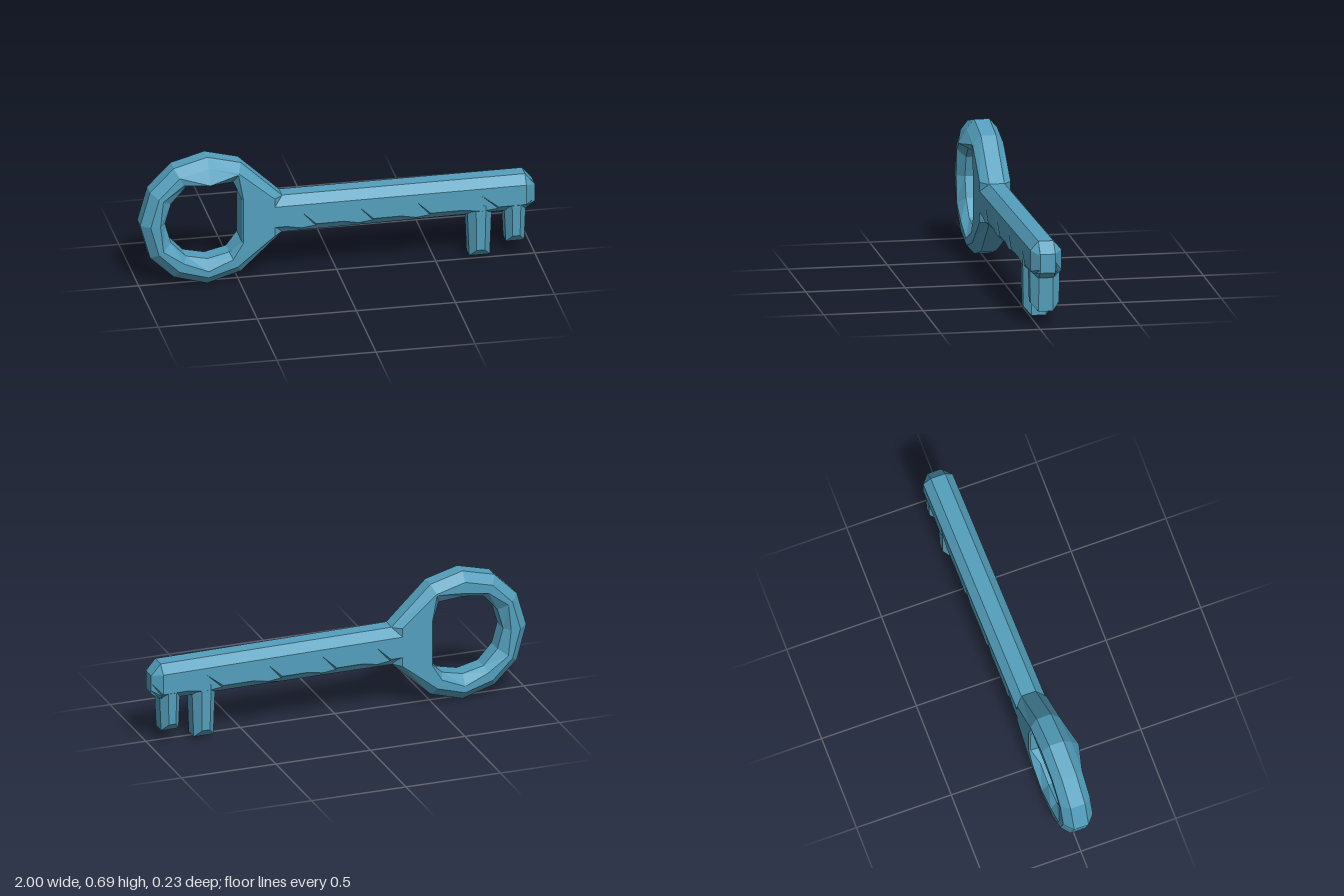
import * as THREE from 'three';

const steel = new THREE.MeshStandardMaterial({ color: 0x549fbd });
steel.name = 'steelBlue';

// The whole key leans slightly backwards towards its tip.
const lean = (x) => -0.0175 - 0.0205 * x;

// Skins a list of cross-sections (equal point counts) with flat facets.
function loft(name, sections, closed = false) {
  const n = sections[0].length, tris = [];
  const count = closed ? sections.length : sections.length - 1;
  for (let i = 0; i < count; i++) {
    const a = sections[i], b = sections[(i + 1) % sections.length];
    for (let j = 0; j < n; j++) {
      const k = (j + 1) % n;
      tris.push([a[j], b[j], b[k]], [a[j], b[k], a[k]]);
    }
  }
  if (!closed) {
    const first = sections[0], last = sections[sections.length - 1];
    for (let j = 1; j < n - 1; j++) {
      tris.push([first[0], first[j], first[j + 1]], [last[0], last[j + 1], last[j]]);
    }
  }
  // Turn every face outwards, judged by the enclosed volume.
  const v = (p) => new THREE.Vector3(p[0], p[1], p[2] + lean(p[0]));
  let volume = 0;
  const faces = tris.map((t) => t.map(v));
  for (const [a, b, c] of faces) volume += a.dot(b.clone().cross(c));
  if (volume < 0) faces.forEach((f) => f.reverse());
  const geometry = new THREE.BufferGeometry().setFromPoints(faces.flat());
  geometry.computeVertexNormals();
  const mesh = new THREE.Mesh(geometry, steel);
  mesh.name = name;
  return mesh;
}

// Ring handle with a bevelled rim and a web running into the shaft.
function makeBow() {
  const outer = [[-0.66, 0.685], [-0.49, 0.64], [-0.28, 0.44], [-0.28, 0.245], [-0.49, 0.05], [-0.66, 0],
    [-0.83, 0.05], [-0.95, 0.165], [-1, 0.345], [-0.95, 0.52], [-0.83, 0.64]];
  const inner = [[-0.66, 0.55], [-0.53, 0.54], [-0.49, 0.45], [-0.49, 0.22], [-0.55, 0.16], [-0.66, 0.135],
    [-0.77, 0.16], [-0.845, 0.24], [-0.875, 0.345], [-0.845, 0.45], [-0.77, 0.535]];
  const sections = outer.map((o, i) => {
    const q = inner[i], length = Math.hypot(o[0] - q[0], o[1] - q[1]);
    const web = i === 2 || i === 3;
    const at = (d, z) => {
      const t = d / length;
      return [o[0] + (q[0] - o[0]) * t, o[1] + (q[1] - o[1]) * t, z];
    };
    const chip = web ? 0.006 : i % 2 ? 0.055 : 0.03;
    const innerZ = web ? 0.07 : 0.042;
    const section = [
      at(0, 0.038), at(0.046, 0.078), at(length - chip, 0.08), at(length, innerZ),
      at(length, -innerZ), at(length - chip, -0.078), at(0.046, -0.078), at(0, -0.038),
    ];
    // Pointed chip at the top of the front face.
    if (i === 0) section[2] = at(0.12, 0.119);
    return section;
  });
  return loft('bow', sections, true);
}

// Octagonal shaft with hammered ridges along its lower edges.
function makeShaft() {
  const station = (x, ridge) => {
    const top = 0.442 - 0.004 * (x + 0.3), bottom = 0.242 + 0.004 * (x + 0.3);
    const mid = ridge ? 0.358 : 0.287, low = 0.272, lowZ = ridge ? 0.078 : 0.06;
    const half = [[top, 0.038], [top - 0.045, 0.078], [mid, 0.078], [low, lowZ], [bottom, 0.038]];
    return [...half.map(([y, z]) => [x, y, z]), ...half.reverse().map(([y, z]) => [x, y, -z])];
  };
  const sections = [station(-0.34, false)];
  for (const x of [-0.19, 0.1, 0.39]) {
    sections.push(station(x - 0.075, false), station(x, true), station(x + 0.075, false));
  }
  sections.push(station(0.63, false), station(0.72, true), station(0.81, false), station(0.95, false));
  // Narrow tip.
  const tip = [[0.38, 0.038], [0.375, 0.038], [0.34, 0.038], [0.3, 0.038], [0.285, 0.038]];
  sections.push([...tip.map(([y, z]) => [1, y, z]), ...tip.reverse().map(([y, z]) => [1, y, -z])]);
  return loft('shaft', sections);
}

// Tapered bit tooth: eight-sided, with chamfered lower front and back.
function makeTooth(name, x, bottom, width) {
  const ring = (y, w, lift, d) => {
    const corners = [[w, 0.036], [w * 0.4, d], [-w * 0.4, d], [-w, 0.036]];
    const front = corners.map(([dx, z]) => [x + dx, y + (z > 0.04 ? lift : 0), z]);
    return [...front, ...front.map(([px, py, pz]) => [px, py, -pz]).reverse()];
  };
  const foot = ring(bottom, width * 0.82, 0, 0.037);
  return loft(name, [ring(0.3, width, 0, 0.076), ring(bottom, width * 0.83, 0.04, 0.072), foot]);
}

export function createModel() {
  const key = new THREE.Group();
  key.name = 'key';
  key.add(
    makeBow(),
    makeShaft(),
    makeTooth('longTooth', 0.72, 0.018, 0.063),
    makeTooth('shortTooth', 0.9, 0.078, 0.056),
  );
  return key;
}
